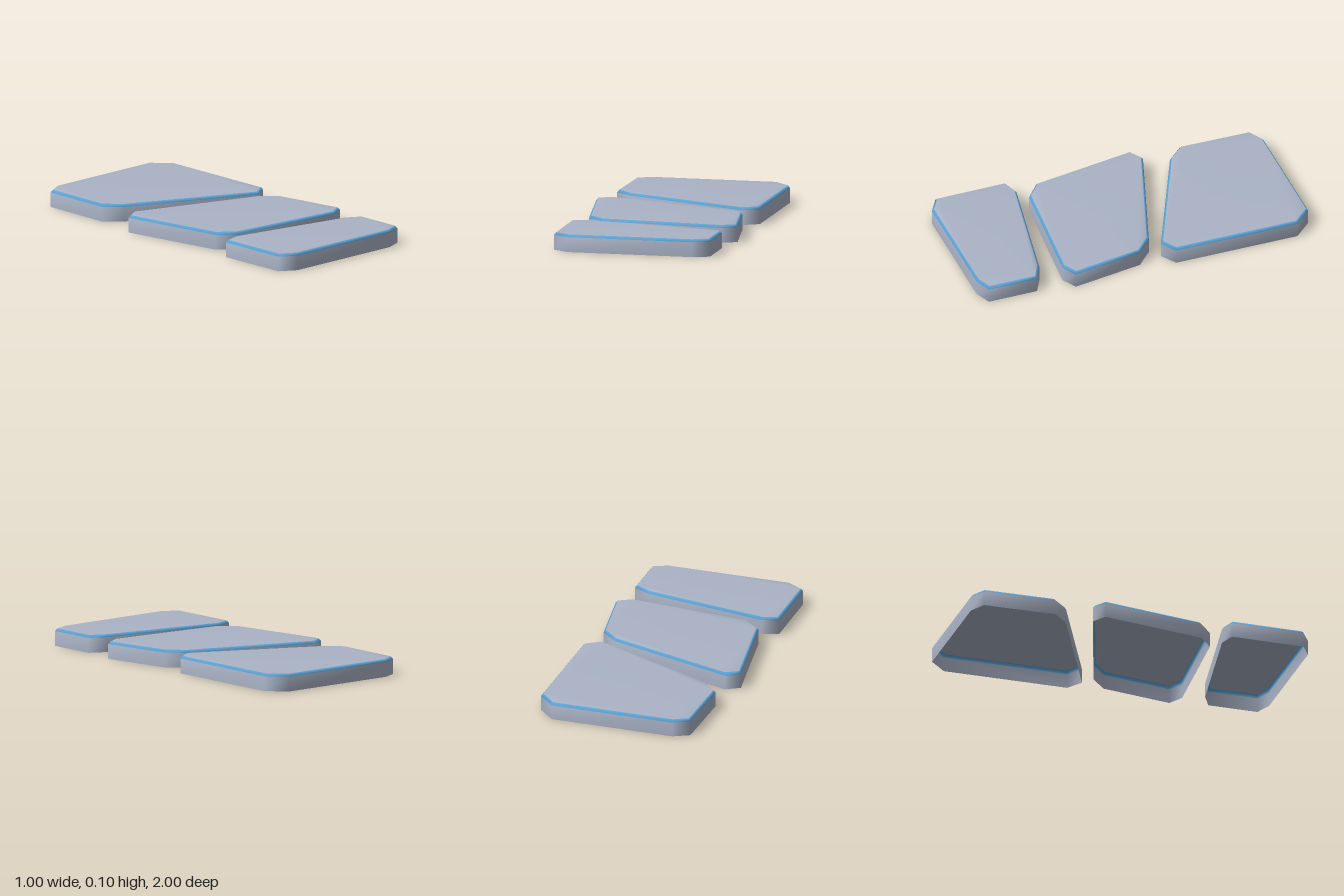
import * as THREE from 'three';

const body = new THREE.MeshStandardMaterial({ color: 0xaab3c6, side: THREE.DoubleSide });
body.name = 'pale grey';
const trim = new THREE.MeshStandardMaterial({ color: 0x5fa8dc, side: THREE.DoubleSide });
trim.name = 'sky blue';

const HEIGHT = 0.1, RIM = 0.085, INSET = 0.012;

// Plan outlines as [x, z], clockwise seen from above
const OUTLINES = {
  backPlate: [[-0.45, -0.94], [-0.36, -0.99], [0.36, -1], [0.46, -0.9], [0.47, -0.17], [0.38, -0.11], [-0.36, -0.43], [-0.45, -0.52]],
  middlePlate: [[-0.5, -0.24], [-0.42, -0.29], [0.32, -0.06], [0.42, 0.03], [0.495, 0.44], [0.41, 0.49], [-0.29, 0.44], [-0.39, 0.36]],
  frontPlate: [[-0.455, 0.52], [-0.36, 0.49], [0.36, 0.61], [0.46, 0.66], [0.465, 0.95], [0.37, 0.99], [-0.35, 1], [-0.445, 0.945]],
};

// Shrink an outline by an even distance, mitred at the corners
function insetOutline(points, d) {
  const n = points.length;
  const inward = (a, b) => new THREE.Vector2(a[1] - b[1], b[0] - a[0]).normalize();
  return points.map((p, i) => {
    const n1 = inward(points[(i + n - 1) % n], p);
    const n2 = inward(p, points[(i + 1) % n]);
    const k = d / (1 + n1.dot(n2));
    return [p[0] + (n1.x + n2.x) * k, p[1] + (n1.y + n2.y) * k];
  });
}

// Hollow slab with open base: wall, coloured bevel and top sharing smooth normals
function makePlate(name, outline) {
  const n = outline.length;
  const top = insetOutline(outline, INSET);
  const positions = [];
  [[outline, 0], [outline, RIM], [top, HEIGHT]].forEach(([ring, y]) =>
    ring.forEach(([x, z]) => positions.push(x, y, z)));

  const index = [];
  const addBand = (lower) => {
    for (let i = 0; i < n; i++) {
      const j = (i + 1) % n;
      const a = lower * n + i, b = lower * n + j;
      index.push(a, a + n, b, b, a + n, b + n);
    }
  };
  addBand(0);
  addBand(1);

  // Top face, every triangle wound to face up
  const flat = top.map(([x, z]) => new THREE.Vector2(x, -z));
  for (const [a, b, c] of THREE.ShapeUtils.triangulateShape(flat, [])) {
    const up = flat[b].clone().sub(flat[a]).cross(flat[c].clone().sub(flat[a])) > 0;
    index.push(2 * n + a, 2 * n + (up ? b : c), 2 * n + (up ? c : b));
  }

  const geometry = new THREE.BufferGeometry();
  geometry.setAttribute('position', new THREE.Float32BufferAttribute(positions, 3));
  geometry.setIndex(index);
  geometry.computeVertexNormals();
  geometry.addGroup(0, 6 * n, 0);
  geometry.addGroup(6 * n, 6 * n, 1);
  geometry.addGroup(12 * n, index.length - 12 * n, 0);

  const mesh = new THREE.Mesh(geometry, [body, trim]);
  mesh.name = name;
  return mesh;
}

export function createModel() {
  const group = new THREE.Group();
  group.name = 'plates';
  for (const [name, outline] of Object.entries(OUTLINES)) group.add(makePlate(name, outline));
  return group;
}
